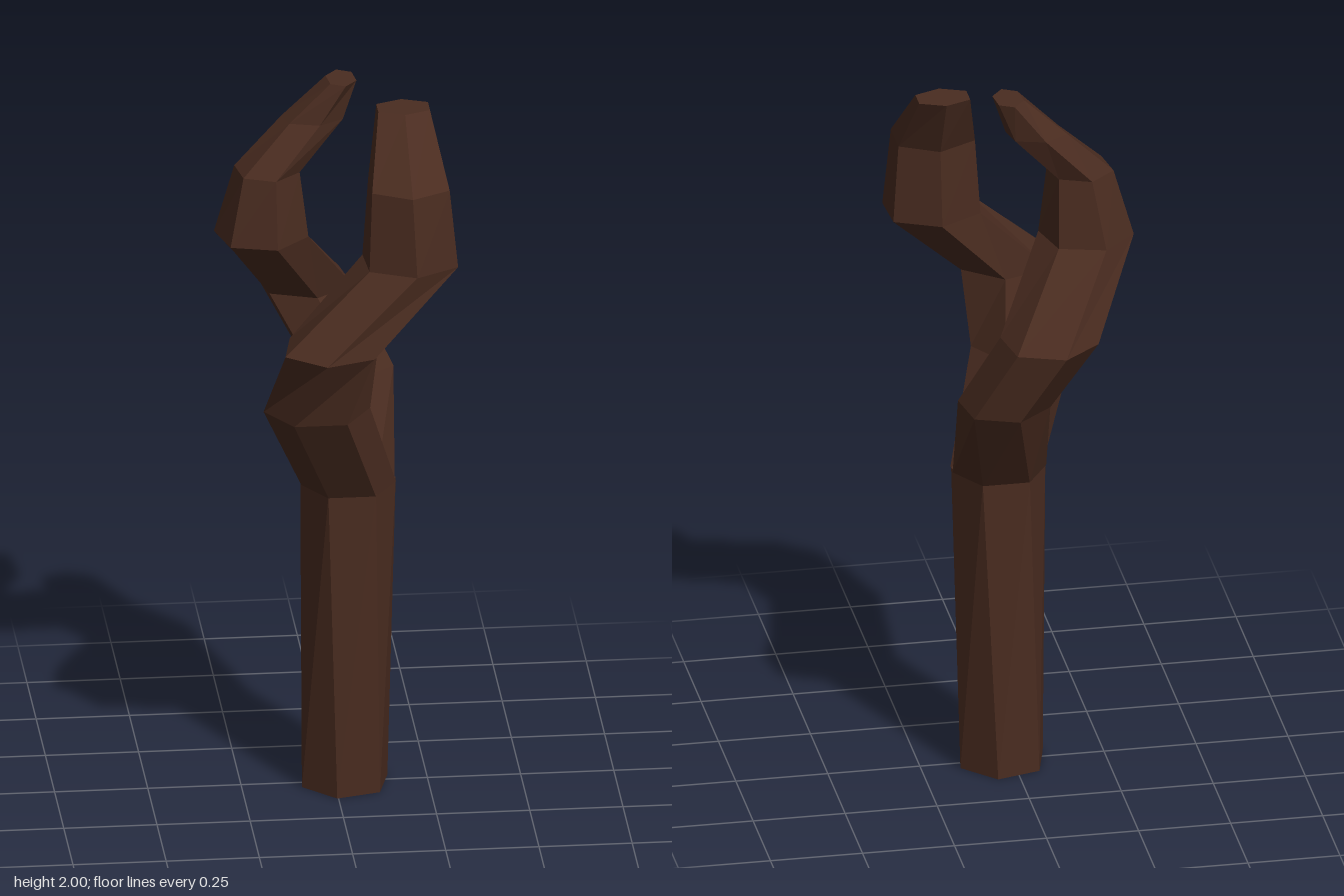
import * as THREE from 'three';

const SIDES = 6;

// Six-sided cross-section; angles run from -x towards +z
function ringPoint([y, cx, cz, rx, rz, deg], i) {
  const t = THREE.MathUtils.degToRad(deg) + (i / SIDES) * Math.PI * 2;
  return [cx - rx * Math.cos(t), y, cz + rz * Math.sin(t)];
}

// Joins the cross-sections into a closed limb with flat ends
function loft(rings) {
  const positions = rings.flatMap(r => Array.from({ length: SIDES }, (_, i) => ringPoint(r, i)).flat());
  const index = [];
  const top = (rings.length - 1) * SIDES;
  for (let r = 0; r < rings.length - 1; r++) {
    for (let i = 0; i < SIDES; i++) {
      const a = r * SIDES + i, b = r * SIDES + (i + 1) % SIDES;
      index.push(a, b, b + SIDES, a, b + SIDES, a + SIDES);
    }
  }
  for (let i = 1; i < SIDES - 1; i++) {
    index.push(0, i + 1, i, top, top + i, top + i + 1);
  }
  const geometry = new THREE.BufferGeometry();
  geometry.setAttribute('position', new THREE.Float32BufferAttribute(positions, 3));
  geometry.setIndex(index);
  const flat = geometry.toNonIndexed();
  flat.computeVertexNormals();
  return flat;
}

// Each cross-section: height, centre x, centre z, radius x, radius z, turn in degrees
const limbs = {
  trunk: [
    [0, 0.028, 0, 0.122, 0.124, 15],
    [0.875, 0.037, 0, 0.128, 0.135, 0],
  ],
  frontBranch: [
    [0.87, 0.037, 0.017, 0.127, 0.115, 0],
    [1.15, -0.063, 0.167, 0.143, 0.13, 0],
    [1.36, -0.03, 0.25, 0.138, 0.13, 20],
    [1.57, 0.188, 0.163, 0.138, 0.122, 33],
    [1.79, 0.185, 0.157, 0.12, 0.11, 30],
    [1.96, 0.182, 0.03, 0.08, 0.055, 30],
  ],
  backBranch: [
    [0.87, 0.037, -0.017, 0.127, 0.115, 0],
    [1.14, 0.055, -0.18, 0.125, 0.125, -20],
    [1.35, -0.055, -0.25, 0.133, 0.13, -20],
    [1.57, -0.19, -0.06, 0.128, 0.125, -15],
    [1.76, -0.175, -0.055, 0.09, 0.095, -20],
    [1.89, -0.05, -0.09, 0.085, 0.063, -20],
    [2, 0.027, -0.09, 0.042, 0.06, -20],
  ],
};

export function createModel() {
  const group = new THREE.Group();
  group.name = 'forkedTree';
  const bark = new THREE.MeshStandardMaterial({ color: 0x4a2c20, flatShading: true });
  for (const [name, rings] of Object.entries(limbs)) {
    const mesh = new THREE.Mesh(loft(rings), bark);
    mesh.name = name;
    group.add(mesh);
  }
  return group;
}
